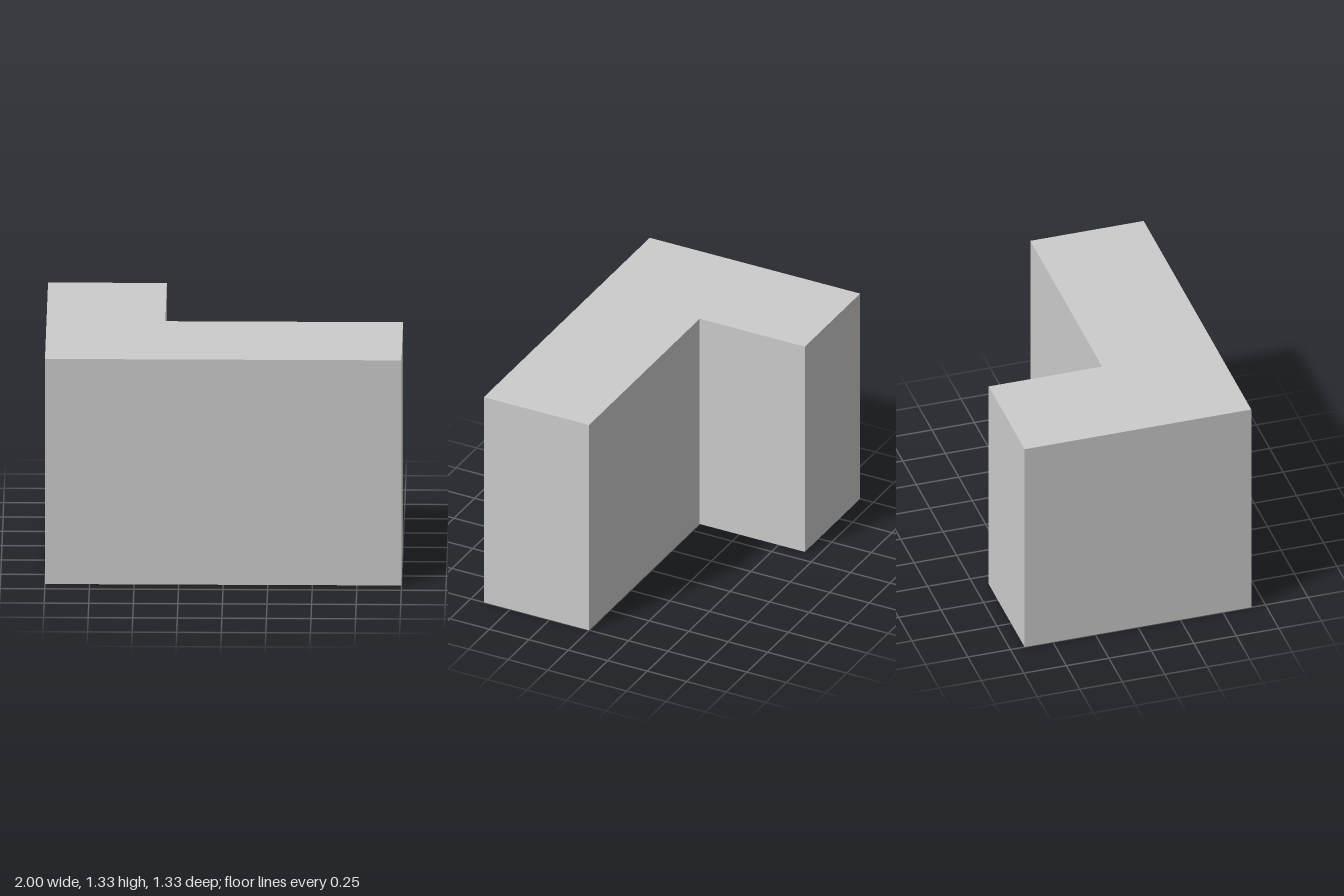
import * as THREE from 'three';

const UNIT = 2 / 3; // wall thickness; the block is 3 x 2 x 2 units

export function createModel() {
  const group = new THREE.Group();
  group.name = 'lShapedBlock';

  // L-shaped footprint (shape y becomes -z once laid flat)
  const footprint = new THREE.Shape([
    [-1.5, -1], [1.5, -1], [1.5, 0], [-0.5, 0], [-0.5, 1], [-1.5, 1],
  ].map(([x, y]) => new THREE.Vector2(x * UNIT, y * UNIT)));

  // Raise the footprint into a solid standing on y = 0
  const geometry = new THREE.ExtrudeGeometry(footprint, { depth: 2 * UNIT, bevelEnabled: false });
  geometry.rotateX(-Math.PI / 2);

  const block = new THREE.Mesh(
    geometry,
    new THREE.MeshStandardMaterial({ color: 0xcccccc, flatShading: true }),
  );
  block.name = 'block';
  group.add(block);
  return group;
}
